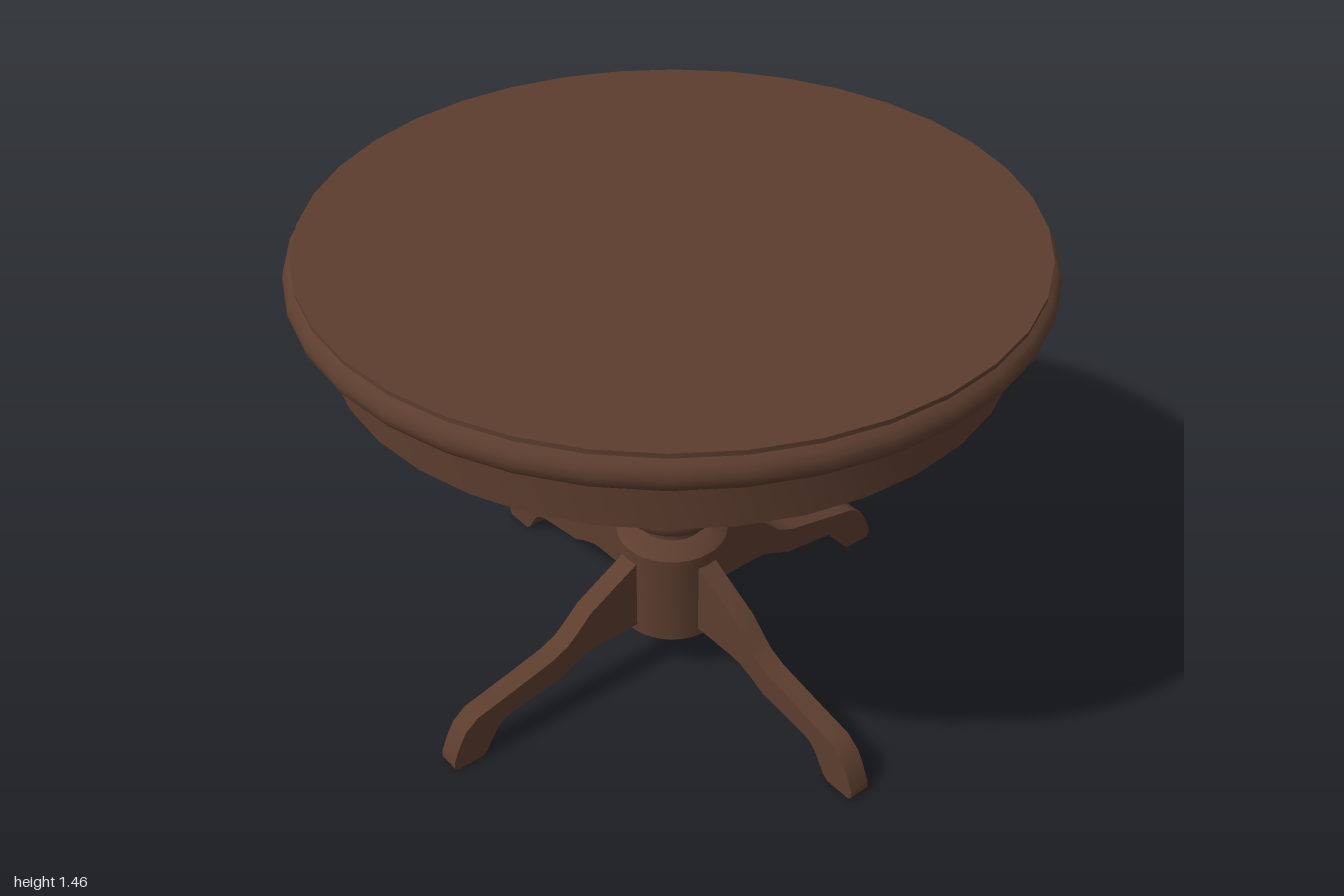
import * as THREE from 'three';
import { toCreasedNormals } from 'three/addons/utils/BufferGeometryUtils.js';

const SEGMENTS = 36;

export function createModel() {
  const table = new THREE.Group();
  table.name = 'pedestalTable';

  const wood = new THREE.MeshStandardMaterial({ color: 0x5c3d2e });
  wood.name = 'dark walnut';

  const add = (name, geometry, crease = 0.6) => {
    const mesh = new THREE.Mesh(toCreasedNormals(geometry, crease), wood);
    mesh.name = name;
    table.add(mesh);
    return mesh;
  };
  // Profiles are [radius, height] pairs, running up the outside
  const turn = (name, profile, crease) =>
    add(name, new THREE.LatheGeometry(profile.map(([r, y]) => new THREE.Vector2(r, y)), SEGMENTS), crease);

  // Rounded rim with a small raised lip around the flat surface
  const rim = [];
  for (let i = 0; i <= 8; i++) {
    const a = -Math.PI / 2 + (i / 8) * Math.PI;
    rim.push([0.953 + 0.047 * Math.cos(a), 1.398 + 0.048 * Math.sin(a)]);
  }
  rim.pop();
  turn('tableTop', [[0, 1.35], ...rim, [0.975, 1.443], [0.975, 1.456], [0, 1.456]]);

  // Hollow apron below the top
  turn('apron', [[0.845, 1.352], [0.845, 1.195], [0.912, 1.195], [0.912, 1.352]]);

  // Turned column: a half-round bead between two heights
  const bead = (low, high, neck, radius) => {
    const points = [];
    for (let i = 0; i <= 8; i++) {
      const a = -Math.PI / 2 + (i / 8) * Math.PI;
      points.push([neck + (radius - neck) * Math.cos(a), (low + high) / 2 + ((high - low) / 2) * Math.sin(a)]);
    }
    return points;
  };
  // Smooth bulb of the column
  const bulb = new THREE.SplineCurve([
    [0.105, 0.742], [0.15, 0.782], [0.18, 0.825], [0.19, 0.875], [0.178, 0.925],
    [0.14, 0.98], [0.1, 1.025], [0.07, 1.06],
  ].map(([r, y]) => new THREE.Vector2(r, y))).getPoints(16).map((p) => [p.x, p.y]);

  turn('column', [
    [0.1, 0.46], [0.1, 0.51],
    ...bead(0.512, 0.615, 0.103, 0.152),
    [0.1, 0.617], [0.1, 0.628],
    ...bead(0.63, 0.735, 0.103, 0.152),
    [0.1, 0.737],
    ...bulb,
    [0.076, 1.1],
    ...bead(1.102, 1.137, 0.08, 0.105),
    [0.076, 1.139], [0.096, 1.2], [0.124, 1.352],
  ]);

  // Hub that carries the legs
  turn('hub', [
    [0, 0.142], [0.157, 0.142], [0.164, 0.15], [0.164, 0.452],
    [0.157, 0.459], [0.105, 0.482], [0, 0.482],
  ], 0.45);

  // Four swept legs, flat sided, with downturned feet
  const outline = [
    [0.1, 0.45], [0.165, 0.41], [0.33, 0.318], [0.38, 0.27], [0.415, 0.24], [0.47, 0.216], [0.68, 0.168],
    [0.735, 0.157], [0.778, 0.125], [0.8, 0.09], [0.824, 0.035], [0.826, 0.012], [0.815, 0],
    [0.73, 0], [0.712, 0.015], [0.7, 0.035], [0.675, 0.075], [0.65, 0.097], [0.62, 0.106],
    [0.45, 0.13], [0.4, 0.155], [0.35, 0.174], [0.31, 0.178], [0.1, 0.178],
  ];
  const legShape = new THREE.Shape(outline.map(([x, y]) => new THREE.Vector2(x, y)));
  const legGeometry = new THREE.ExtrudeGeometry(legShape, { depth: 0.064, bevelEnabled: false });
  legGeometry.translate(0, 0, -0.032);
  ['leftLeg', 'backLeg', 'rightLeg', 'frontLeg'].forEach((name, i) => {
    add(name, legGeometry).rotation.y = (i * Math.PI) / 2;
  });

  return table;
}
